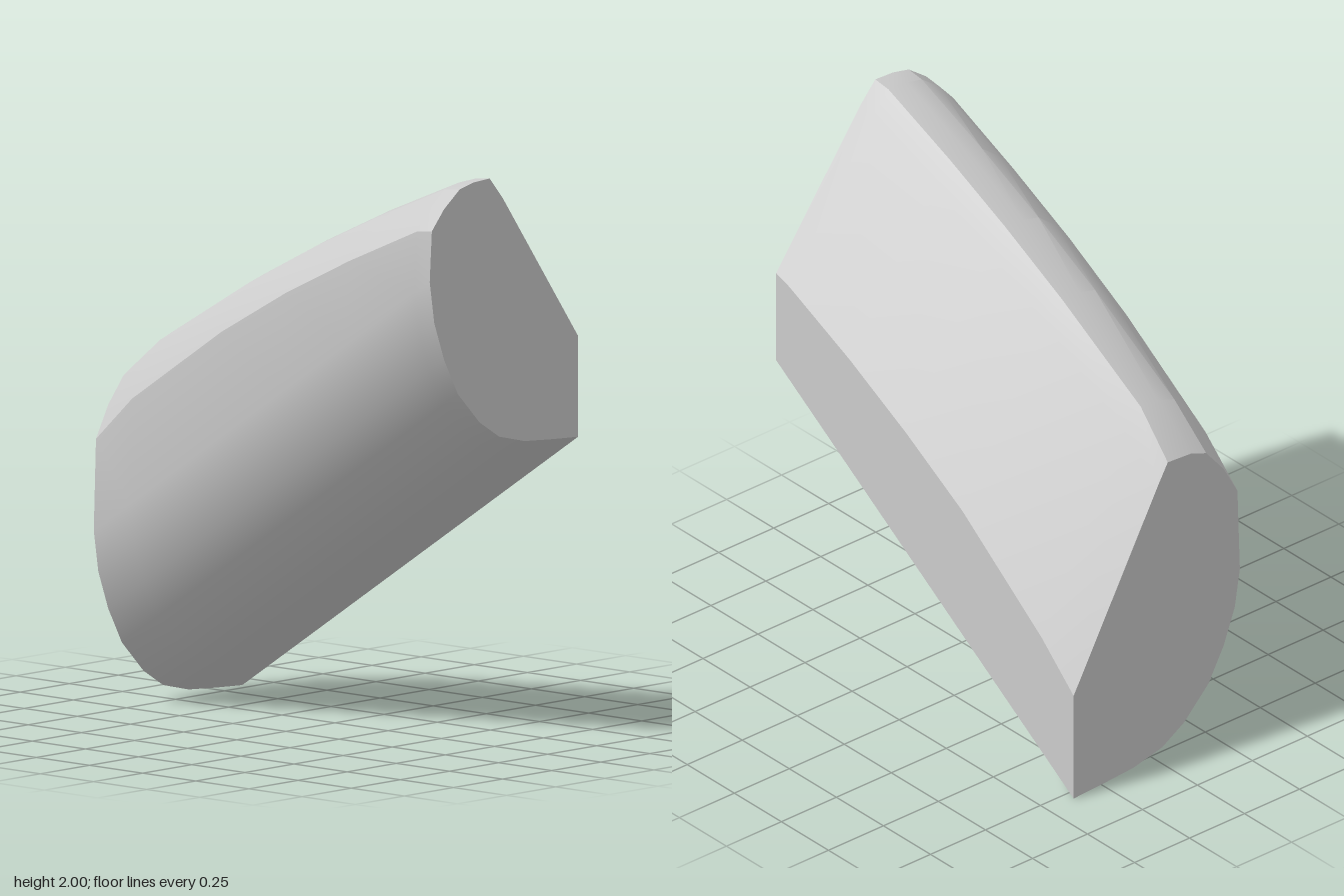
import * as THREE from 'three';
import { toCreasedNormals } from 'three/addons/utils/BufferGeometryUtils.js';

// Stations along the beam: x, height of the flat back, full height, shoulder roundness
const STATIONS = [
  [-0.79, 0.415, 1.19, 1.6],
  [-0.62, 0.46, 1.215, 1.45],
  [-0.2, 0.5, 1.18, 1.2],
  [0.1, 0.48, 1.135, 1.1],
  [0.4, 0.44, 1.075, 1.05],
  [0.72, 0.375, 0.995, 1],
  [0.79, 0.352, 0.957, 1],
];

// Rounded underside and belly, shared by all stations: z, height above the base line
const BELLY = [
  [-0.383, 0], [-0.25, 0.007], [-0.11, 0.017], [0.02, 0.048], [0.12, 0.11],
  [0.23, 0.222], [0.3, 0.35], [0.35, 0.485], [0.373, 0.63],
];

// Closed cross-section, from the back bottom edge round the front to the back top edge
function section([x, back, top, round]) {
  const base = 0.003 + (x + 0.79) * 0.66;
  const ridgeZ = x < -0.7 ? 0.045 : 0.068;
  const profile = [
    ...BELLY,
    [0.362, top - 0.15 * round],
    [0.3, top - 0.08 * round],
    [0.22, top - 0.02 * round],
    [0.15, top - 0.004 * round],
    [ridgeZ, top],
    [0, top - 0.078],
    [-0.383, back],
  ];
  return profile.map(([z, y]) => [x, base + y, z]);
}

// Skin between the cross-sections, with flat caps on both ends
function loft(rings) {
  const n = rings[0].length;
  const last = (rings.length - 1) * n;
  const index = [];
  for (let i = 0; i < rings.length - 1; i++) {
    for (let j = 0; j < n; j++) {
      const a = i * n + j;
      const c = i * n + ((j + 1) % n);
      index.push(a, a + n, c, c, a + n, c + n);
    }
  }
  for (let j = 1; j < n - 1; j++) {
    index.push(0, j, j + 1, last, last + j + 1, last + j);
  }
  const geometry = new THREE.BufferGeometry();
  geometry.setAttribute('position', new THREE.Float32BufferAttribute(rings.flat(2), 3));
  geometry.setIndex(index);
  return toCreasedNormals(geometry, 0.4);
}

export function createModel() {
  const group = new THREE.Group();
  group.name = 'slantedBlock';
  const body = new THREE.Mesh(
    loft(STATIONS.map(section)),
    new THREE.MeshStandardMaterial({ color: 0xcccccc })
  );
  body.name = 'roundedBody';
  group.add(body);
  return group;
}
